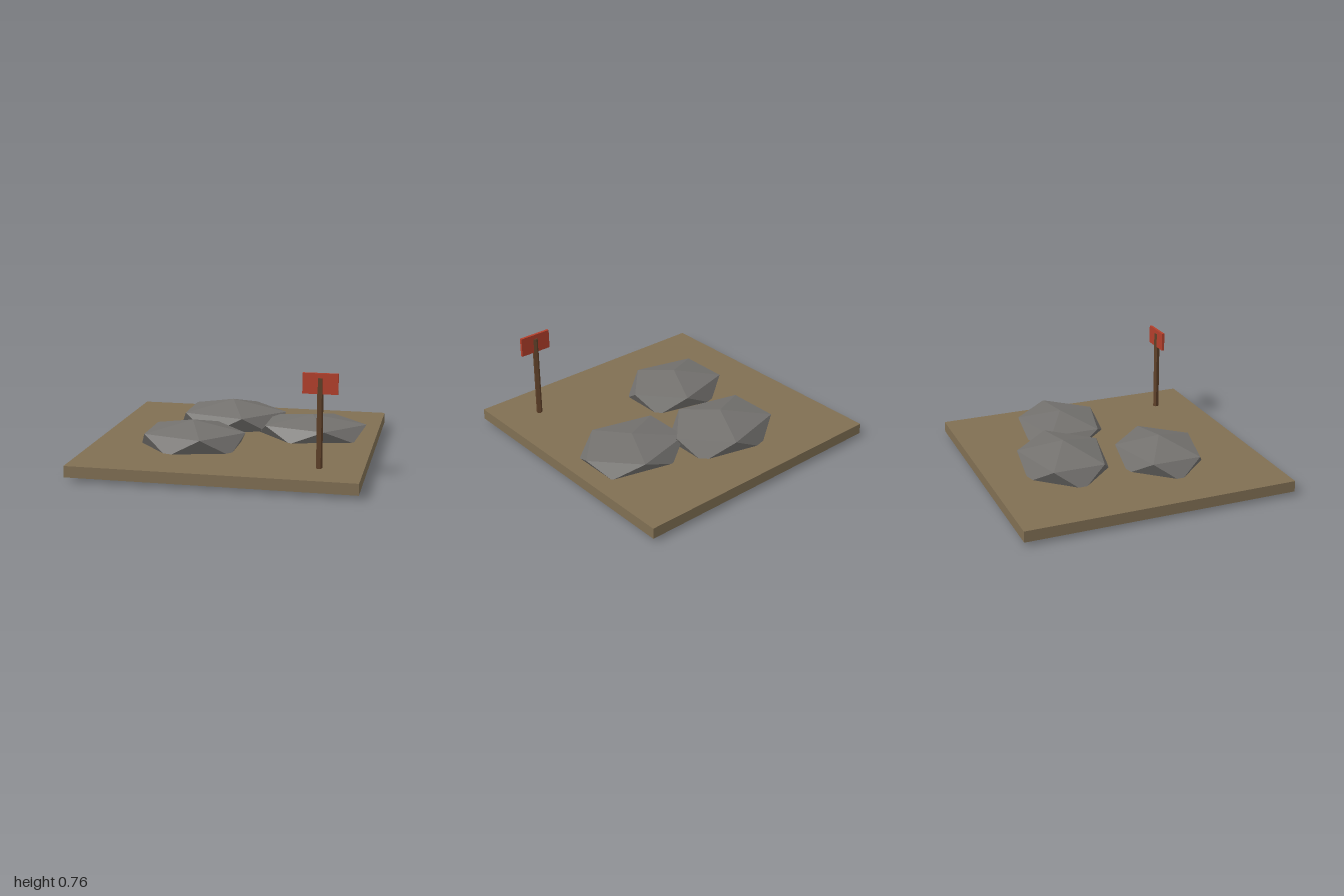
import * as THREE from 'three';

const mat = (name, color) => {
  const m = new THREE.MeshStandardMaterial({ color, flatShading: true });
  m.name = name;
  return m;
};

export function createModel() {
  const group = new THREE.Group();
  const dirt = mat('dirt', 0x806f53);
  const stone = mat('stone', 0x73716e);
  const wood = mat('wood', 0x5f4129);
  const red = mat('red paint', 0xb33f2b);

  const add = (name, geometry, material, x, y, z) => {
    const mesh = new THREE.Mesh(geometry, material);
    mesh.name = name;
    mesh.position.set(x, y, z);
    group.add(mesh);
    return mesh;
  };

  // Square ground slab
  add('ground', new THREE.BoxGeometry(2, 0.08, 2), dirt, 0, 0.068, 0);

  // Flattened icosahedron rocks, one corner pointing up, half sunk in the slab
  const tilt = -Math.atan(2 / (1 + Math.sqrt(5)));
  const rocks = [
    // name, centre, radii
    ['backRock', [-0.125, 0.152, -0.412], [0.463, 0.151, 0.361]],
    ['frontRock', [-0.277, 0.153, 0.275], [0.433, 0.142, 0.347]],
    ['sideRock', [0.526, 0.152, -0.2], [0.451, 0.111, 0.353]],
  ];
  for (const [name, centre, radii] of rocks) {
    const rock = new THREE.IcosahedronGeometry(1, 0).rotateZ(tilt).scale(...radii);
    add(name, rock, stone, ...centre);
  }

  // Five-sided post with a flat side to the front
  const post = new THREE.CylinderGeometry(0.0225, 0.0225, 0.7, 5).rotateY(Math.PI);
  add('post', post, wood, 0.699, 0.377, 0.697);

  // Sign board through the top of the post
  add('signBoard', new THREE.BoxGeometry(0.239, 0.14, 0.02), red, 0.7, 0.689, 0.698);

  return group;
}
